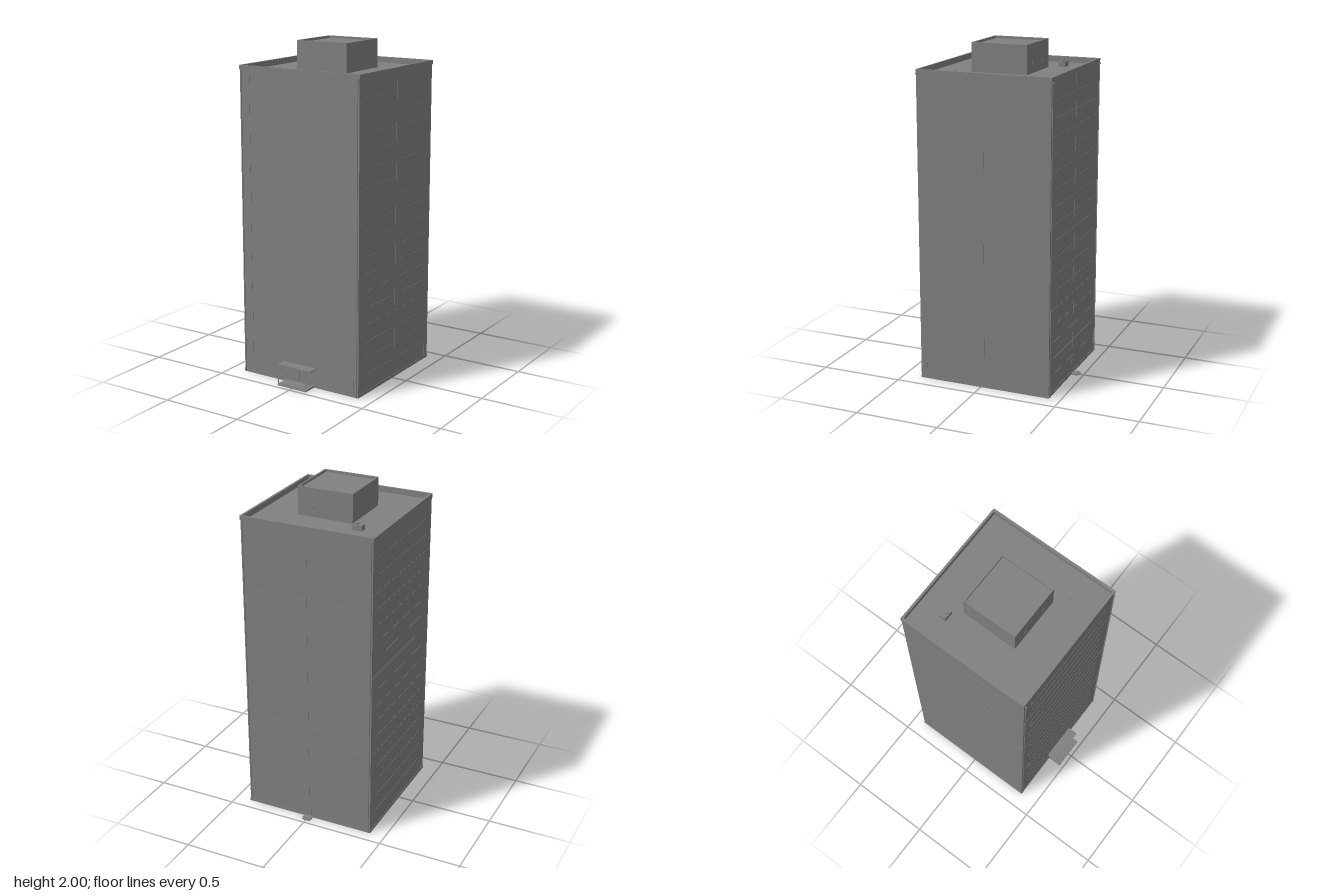
import * as THREE from 'three';

export function createModel() {
  const model = new THREE.Group();
  const concrete = new THREE.MeshStandardMaterial({ color: 0x808080, side: THREE.DoubleSide });
  concrete.name = 'concrete grey';

  const X = 0.405, Z0 = -0.428, Z1 = 0.387, ZC = (Z0 + Z1) / 2, ZH = (Z1 - Z0) / 2;
  const TOP = 1.865, ROOF = 1.83, T = 0.01;

  // box given by its minimum and maximum corners
  function box(name, x0, x1, y0, y1, z0, z1, parent = model) {
    const m = new THREE.Mesh(new THREE.BoxGeometry(x1 - x0, y1 - y0, z1 - z0), concrete);
    m.position.set((x0 + x1) / 2, (y0 + y1) / 2, (z0 + z1) / 2);
    m.name = name;
    parent.add(m);
    return m;
  }
  function rod(name, r, h, x, y, z) {
    const m = new THREE.Mesh(new THREE.CylinderGeometry(r, r, h, 12), concrete);
    m.position.set(x, y, z);
    m.name = name;
    model.add(m);
  }
  // four thin walls around a rectangle
  function ring(name, hx, z0, z1, y0, y1, t) {
    const g = new THREE.Group();
    g.name = name;
    box(name + 'Front', -hx, hx, y0, y1, z1 - t, z1, g);
    box(name + 'Back', -hx, hx, y0, y1, z0, z0 + t, g);
    for (const s of [-1, 1]) {
      const a = s * hx, b = s * (hx - t);
      box(name + 'Side', Math.min(a, b), Math.max(a, b), y0, y1, z0 + t, z1 - t, g);
    }
    model.add(g);
  }

  // hollow tower shell, open underneath
  ring('wall', X, Z0, Z1, 0, TOP, T);
  ring('cornice', X + 0.004, Z0 - 0.003, Z1 + 0.001, 1.84, TOP, 0.005);
  ring('plinth', X + 0.002, Z0 - 0.002, Z1 + 0.002, 0, 0.018, 0.003);
  box('roof', -X + T, X - T, ROOF - 0.006, ROOF, Z0 + T, Z1 - T);

  // facades: each is a group whose local z points outward
  const facades = [
    ['frontFacade', 0, 0, Z1, 0],
    ['backFacade', 0, 0, Z0, Math.PI],
    ['rightFacade', -X, 0, ZC, -Math.PI / 2],
    ['leftFacade', X, 0, ZC, Math.PI / 2],
  ];
  const strip = 0.0015;
  for (const [name, x, y, z, turn] of facades) {
    const g = new THREE.Group();
    g.name = name;
    g.position.set(x, y, z);
    g.rotation.y = turn;
    model.add(g);
    // floor lines, every fifth one running the full width
    for (let k = -4; k <= 12; k++) {
      const yy = 0.52 + 0.101 * k, full = k % 5 === 0 && k >= 0;
      const w = full ? X - 0.002 : 0.335;
      box(full ? 'panelJoint' : 'floorLine', -w, w, yy - 0.003, yy + 0.003, -T - strip, strip, g);
    }
    // upright joints
    if (name === 'leftFacade' || name === 'backFacade')
      box('uprightJoint', -0.003, 0.003, 0.11, 1.83, 0, strip, g);
    if (name === 'frontFacade')
      box('uprightJoint', -0.342, -0.338, 0.11, 1.83, 0, strip, g);
    for (const s of [-1, 1])
      box('baseJoint', s * 0.37 - 0.002, s * 0.37 + 0.002, 0.018, 0.1, 0, strip, g);
  }

  // downpipes and their outlets near the corners
  for (const x of [-0.395, 0.395]) {
    rod('downpipe', 0.003, 1.83, x, 0.917, Z1 + 0.004);
    rod('downpipe', 0.003, 1.83, x, 0.917, Z0 - 0.004);
    box('pipeOutlet', x - 0.003, x + 0.003, 1.833, 1.84, Z1, Z1 + 0.012);
    box('pipeOutlet', x - 0.003, x + 0.003, 1.833, 1.84, Z0 - 0.013, Z0);
  }

  // penthouse with a low rim
  ring('penthouseWall', 0.17, -0.19, 0.15, ROOF, 2, T);
  box('penthouseRoof', -0.16, 0.16, 1.98, 1.986, -0.18, 0.14);
  for (const x of [-0.08, 0.08]) {
    box('penthouseVent', x - 0.01, x + 0.01, 1.88, 1.895, 0.15, 0.152);
    box('penthouseVent', x - 0.01, x + 0.01, 1.88, 1.895, -0.192, -0.19);
  }

  // rooftop vent and small mast
  box('roofVent', -0.267, -0.21, ROOF, 1.862, -0.28, -0.24);
  rod('ventCap', 0.013, 0.01, -0.228, 1.866, -0.26);
  rod('roofMast', 0.003, 0.02, 0.236, ROOF + 0.01, 0.214);

  // front entrance: canopy, steps, doors and handrails
  box('canopy', -0.117, 0.117, 0.115, 0.122, Z1, 0.45);
  box('lowerStep', -0.1, 0.1, 0, 0.005, Z1, 0.475);
  box('upperStep', -0.1, 0.1, 0.005, 0.01, Z1, 0.462);
  for (const s of [-1, 1]) {
    const x = s * 0.097;
    box('railTop', x - 0.0015, x + 0.0015, 0.038, 0.041, Z1, 0.472);
    box('railPost', x - 0.0015, x + 0.0015, 0.005, 0.04, 0.469, 0.472);
    box('frontDoor', Math.min(s * 0.002, s * 0.04), Math.max(s * 0.002, s * 0.04), 0.01, 0.09, Z1, Z1 + 0.002);
  }

  // back entrance
  box('backStep', -0.027, 0.027, 0, 0.008, -0.466, Z0);
  box('backLowerStep', -0.024, 0.024, 0, 0.004, -0.475, -0.466);
  box('backDoor', -0.018, 0.018, 0.008, 0.085, Z0 - 0.002, Z0);

  return model;
}
